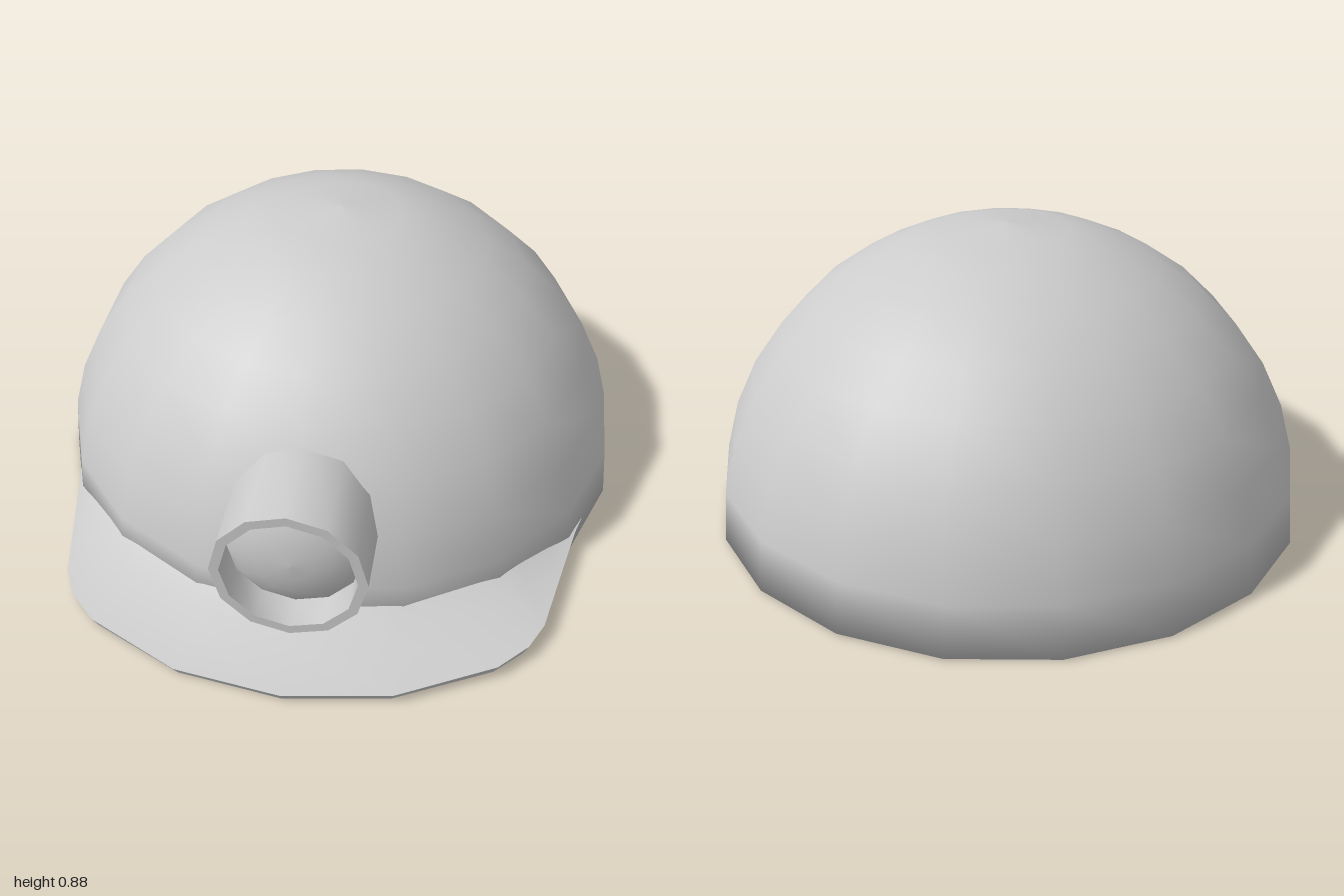
import * as THREE from 'three';
import { toCreasedNormals } from 'three/addons/utils/BufferGeometryUtils.js';

const DOME_Z = -0.127, DOME_R = 0.873;
const rad = THREE.MathUtils.degToRad;

function part(name, geometry) {
  const mesh = new THREE.Mesh(geometry, new THREE.MeshStandardMaterial({ color: 0xcccccc }));
  mesh.name = name;
  return mesh;
}

function lathe(points, sides) {
  return new THREE.LatheGeometry(points.map(([r, y]) => new THREE.Vector2(r, y)), sides);
}

// Quarter circle from the rim up to the crown, in ten degree steps
function arc(radius, base) {
  const points = [];
  for (const a of [90, 80, 70, 60, 50, 40, 30, 20, 12, 0])
    points.push([radius * Math.sin(rad(a)), base + radius * Math.cos(rad(a))]);
  return points;
}

// Peak: five-point cross-sections swept around the front of the dome
function brimGeometry() {
  // Outer edge x, z and height; angle and height where it meets the dome
  const half = [
    [0.84, 0.02, 0.03, 80, 0.03],
    [0.77, 0.28, 0.055, 64, 0.06],
    [0.73, 0.47, 0.055, 54, 0.08],
    [0.69, 0.66, 0.05, 46, 0.095],
    [0.65, 0.74, 0.045, 42, 0.1],
    [0.57, 0.82, 0.04, 36, 0.1],
    [0.3, 0.955, 0.035, 19, 0.1],
    [0, 1, 0.035, 0, 0.1],
  ];
  const mirrored = half.slice(0, -1).reverse().map(([x, z, y, a, h]) => [-x, z, y, -a, h]);
  const sections = [...half, ...mirrored];
  const position = [], index = [], rows = 5;
  sections.forEach(([x, z, y, a, h], i) => {
    const s = Math.sin(rad(a)), c = Math.cos(rad(a));
    const ix = 0.845 * s, iz = DOME_Z + 0.845 * c;
    position.push(
      ix, h, iz,
      ix + (x - ix) * 0.35, y + (h - y) * 0.4, iz + (z - iz) * 0.35,
      x, y, z,
      x * 0.98, 0, z * 0.98,
      0.75 * s, 0, DOME_Z + 0.75 * c,
    );
    if (i === sections.length - 1) return;
    for (let r = 0; r < rows - 1; r++) {
      const p = i * rows + r, q = p + rows;
      index.push(p, q, p + 1, q, q + 1, p + 1);
    }
  });
  const geometry = new THREE.BufferGeometry();
  geometry.setAttribute('position', new THREE.Float32BufferAttribute(position, 3));
  geometry.setIndex(index);
  return toCreasedNormals(geometry, 0.9);
}

export function createModel() {
  const model = new THREE.Group();
  model.name = 'helmet';

  // Outer dome with its flat underside rim
  const shell = part('shell', lathe([[0.49, 0.005], ...arc(DOME_R, 0.005)], 18));
  shell.position.z = DOME_Z;

  // Hollow inside, facing inwards
  const lining = part('lining', lathe([...arc(0.82, 0.02).reverse(), [0.49, 0.005]], 18));
  lining.position.z = DOME_Z;

  const brim = part('brim', brimGeometry());

  // Lamp housing, rim and recessed lens
  const lamp = new THREE.Group();
  lamp.name = 'headlamp';
  const housing = part('lampHousing', toCreasedNormals(lathe(
    [[0, 0.42], [0.215, 0.42], [0.215, 0.838], [0.187, 0.838], [0.187, 0.74]], 12), 0.7));
  const lens = part('lampLens', lathe(
    [[0.187, 0.74], [0.16, 0.762], [0.11, 0.783], [0.055, 0.796], [0, 0.8]], 12));
  lamp.add(housing, lens);
  lamp.rotation.x = Math.PI / 2;
  lamp.position.y = 0.315;

  model.add(shell, lining, brim, lamp);
  return model;
}
